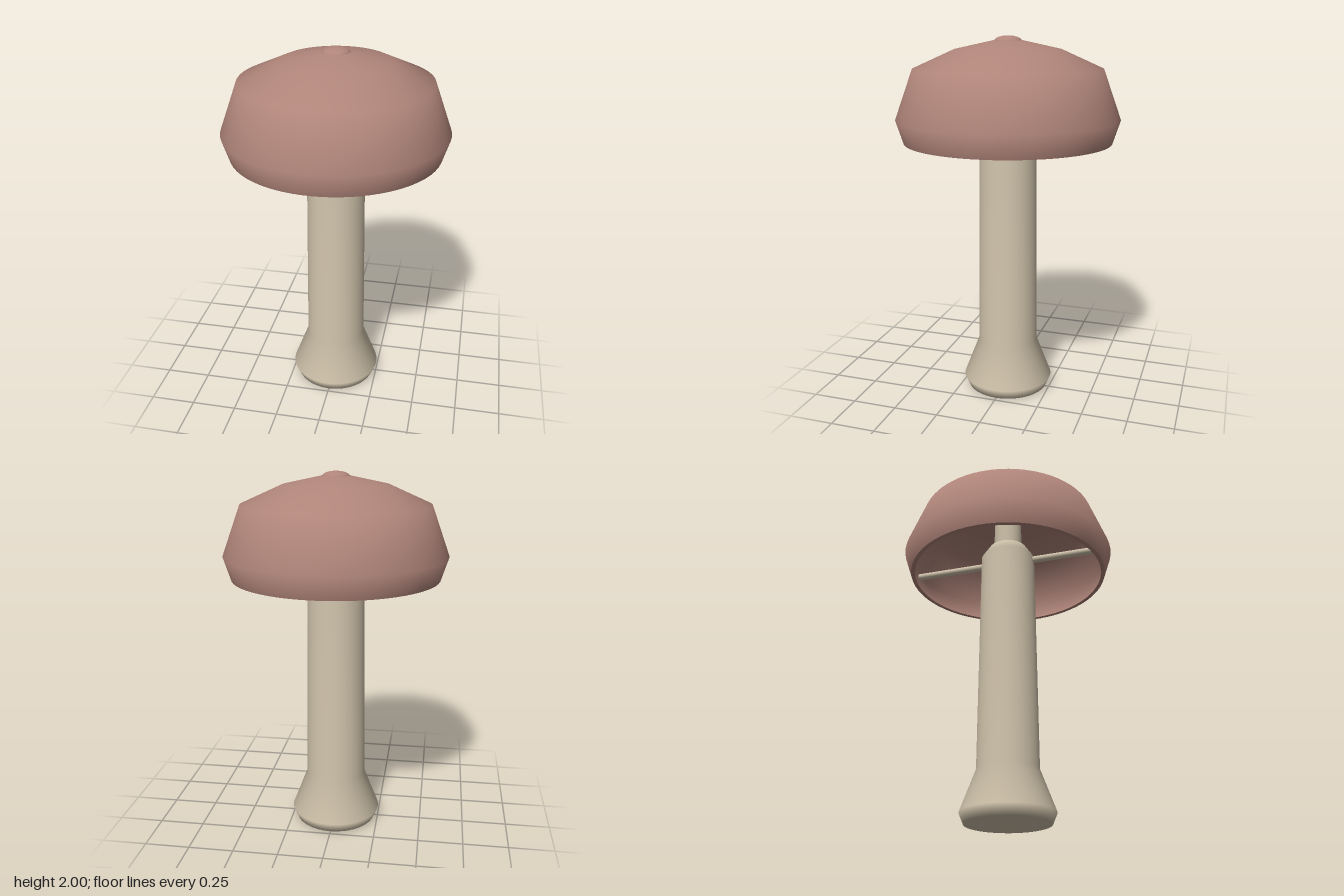
import * as THREE from 'three';

const SEGMENTS = 64;

// Surface of revolution from [radius, height] pairs
function lathe(name, points, material) {
  const profile = points.map(([r, y]) => new THREE.Vector2(r, y));
  const mesh = new THREE.Mesh(new THREE.LatheGeometry(profile, SEGMENTS), material);
  mesh.name = name;
  return mesh;
}

export function createModel() {
  const shadeMaterial = new THREE.MeshStandardMaterial({ color: 0xb0857a });
  shadeMaterial.name = 'dusty rose';
  const stemMaterial = new THREE.MeshStandardMaterial({ color: 0xcfc2aa });
  stemMaterial.name = 'warm beige';

  const model = new THREE.Group();
  model.name = 'mushroomLamp';

  // Hollow shade: outer skin, inner skin and the lip joining them
  const shade = new THREE.Group();
  shade.name = 'shade';
  shade.add(
    lathe('shadeOuter', [[0.565, 1.44], [0.605, 1.565], [0.508, 1.83], [0.285, 1.93], [0.08, 1.975], [0, 1.985]], shadeMaterial),
    lathe('shadeInner', [[0, 1.96], [0.28, 1.905], [0.488, 1.812], [0.58, 1.565], [0.542, 1.44]], shadeMaterial),
    lathe('shadeLip', [[0.542, 1.44], [0.565, 1.44]], shadeMaterial)
  );
  model.add(shade);

  // Small domed finial on top
  const finial = new THREE.Mesh(new THREE.SphereGeometry(0.075, 32, 16), shadeMaterial);
  finial.name = 'finial';
  finial.scale.y = 0.4;
  finial.position.y = 1.97;
  model.add(finial);

  // Stem with flared foot, sloping shoulder and narrow neck inside the shade
  model.add(lathe('stem', [
    [0, 0], [0.228, 0.003], [0.252, 0.06], [0.167, 0.285], [0.155, 1.56], [0.11, 1.63]
  ], stemMaterial));
  model.add(lathe('shoulderCap', [[0.11, 1.63], [0.08, 1.63]], stemMaterial));
  model.add(lathe('neck', [[0.08, 1.63], [0.08, 1.95]], stemMaterial));

  // Cross rod holding the shade
  const rod = new THREE.Mesh(new THREE.CylinderGeometry(0.02, 0.02, 1.13, 16), stemMaterial);
  rod.name = 'crossRod';
  rod.rotation.x = Math.PI / 2;
  rod.position.y = 1.535;
  model.add(rod);

  return model;
}
